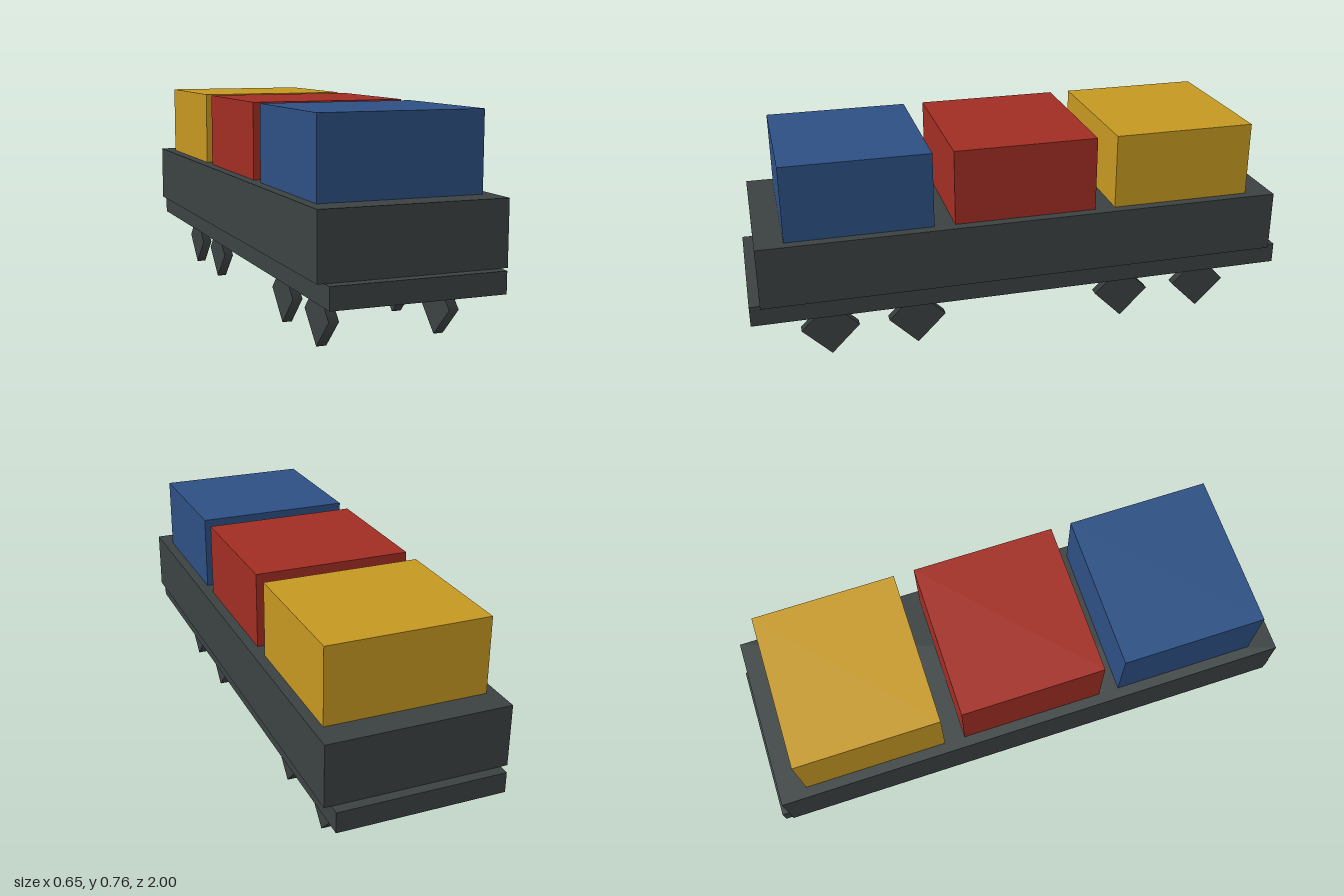
import * as THREE from 'three';

const material = (name, color) => {
  const m = new THREE.MeshStandardMaterial({ color });
  m.name = name;
  return m;
};

export function createModel() {
  const group = new THREE.Group();
  group.name = 'containerWagon';

  const charcoal = material('charcoal', 0x3b4141);
  const blue = material('blue', 0x2c4f82);
  const red = material('red', 0xa02d23);
  const yellow = material('yellow', 0xc49722);

  // Box given by its width, bottom, top, length and z centre
  const addBox = (name, mat, width, bottom, top, length, z = 0) => {
    const mesh = new THREE.Mesh(new THREE.BoxGeometry(width, top - bottom, length), mat);
    mesh.name = name;
    mesh.position.set(0, (bottom + top) / 2, z);
    group.add(mesh);
  };

  // Underframe and wagon body
  addBox('underframe', charcoal, 0.6, 0.19, 0.265, 2);
  addBox('wagonBody', charcoal, 0.65, 0.265, 0.489, 1.925);

  // Three containers, front to back
  const containers = [['front', blue, 0.6], ['middle', red, 0], ['rear', yellow, -0.6]];
  for (const [place, mat, z] of containers) {
    addBox(`${place}Container`, mat, 0.575, 0.489, 0.764, 0.525, z);
  }

  // Four-sided wheels standing on their corners, two axles per bogie
  const wheelGeometry = new THREE.CylinderGeometry(0.105, 0.105, 0.035, 4).rotateZ(Math.PI / 2);
  for (const z of [0.72, 0.4, -0.4, -0.72]) {
    for (const side of [1, -1]) {
      const wheel = new THREE.Mesh(wheelGeometry, charcoal);
      wheel.name = side > 0 ? 'leftWheel' : 'rightWheel';
      wheel.position.set(side * 0.2125, 0.105, z);
      group.add(wheel);
    }
  }

  return group;
}
